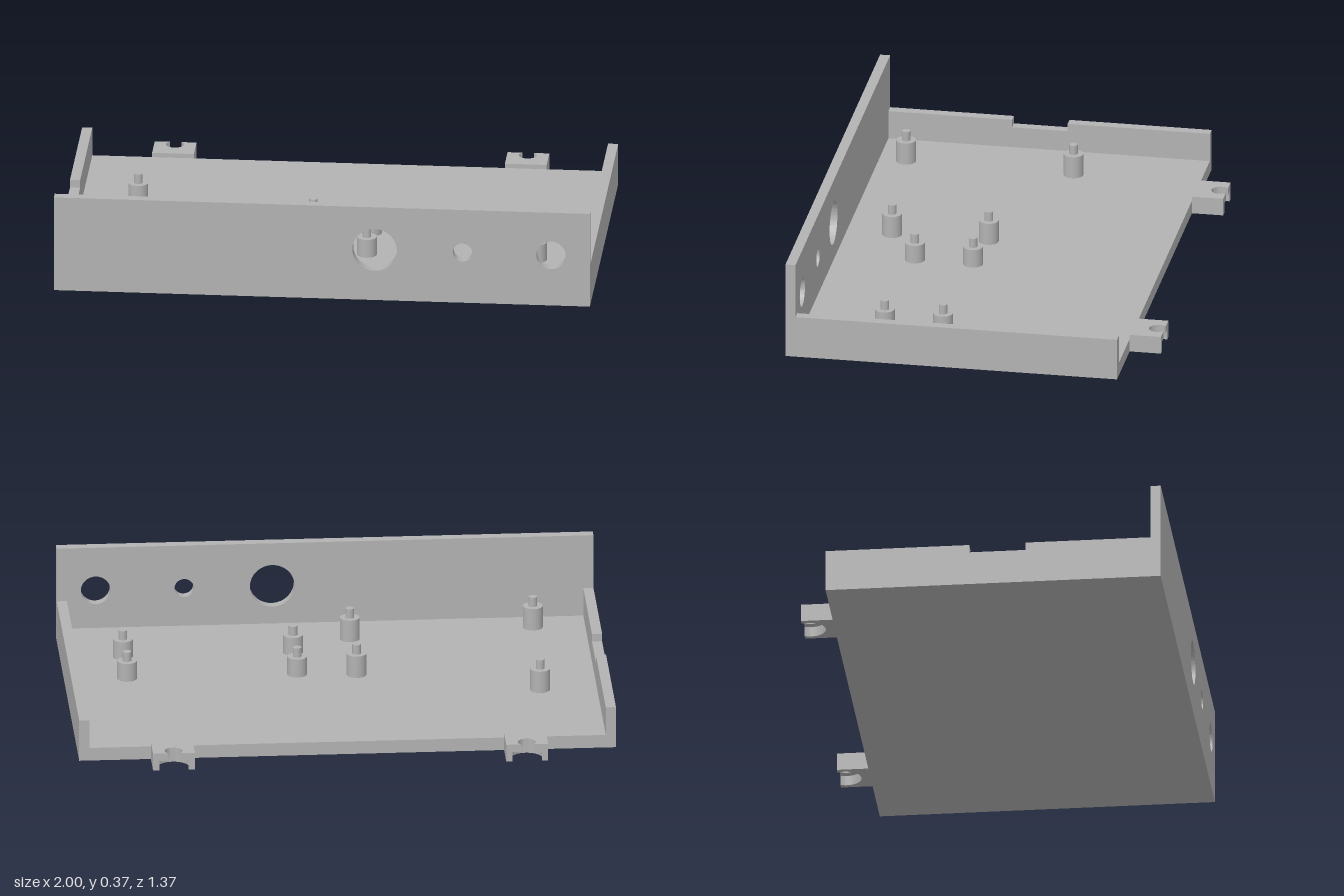
import * as THREE from 'three';
import { toCreasedNormals } from 'three/addons/utils/BufferGeometryUtils.js';

const WALL = 0.038, FLOOR = 0.05, FRONT = 0.685, BACK = -0.567, SIDE_H = 0.16;

export function createModel() {
  const grey = new THREE.MeshStandardMaterial({ color: 0xb2b2b2 });
  grey.name = 'grey plastic';
  const model = new THREE.Group();
  model.name = 'enclosureTray';

  const add = (name, geometry, x = 0, y = 0, z = 0, parent = model) => {
    const mesh = new THREE.Mesh(geometry, grey);
    mesh.name = name;
    mesh.position.set(x, y, z);
    parent.add(mesh);
    return mesh;
  };
  const polygon = (points) => new THREE.Shape(points.map(([x, y]) => new THREE.Vector2(x, y)));
  const extrude = (shape, depth) => toCreasedNormals(
    new THREE.ExtrudeGeometry(shape, { depth, bevelEnabled: false, curveSegments: 40 }), 0.6);

  // Floor plate
  const inner = FRONT - WALL;
  add('floor', new THREE.BoxGeometry(2 - 2 * WALL, FLOOR, inner - BACK), 0, FLOOR / 2, (inner + BACK) / 2);

  // Tall front panel with three connector holes
  const panel = polygon([[-1, 0], [1, 0], [1, 0.37], [-1, 0.37]]);
  for (const [x, r] of [[0.197, 0.083], [0.525, 0.036], [0.855, 0.055]]) {
    panel.holes.push(new THREE.Path().absarc(x, 0.2, r, 0, Math.PI * 2, true));
  }
  add('frontPanel', extrude(panel, WALL), 0, 0, inner);

  // Side walls, profiled in z and y; the right one has a shallow notch
  const sideWall = (name, notch, x) => {
    const shape = polygon([[BACK, 0], [inner, 0], [inner, SIDE_H], ...notch, [BACK, SIDE_H]]);
    add(name, extrude(shape, WALL).rotateY(-Math.PI / 2), x);
  };
  sideWall('leftWall', [], 1);
  sideWall('rightWall', [[0.18, SIDE_H], [0.18, 0.13], [-0.03, 0.13], [-0.03, SIDE_H]], -1 + WALL);

  // Board standoffs, each a post with a locating pin: x, z, post top, pin top
  const standoffs = [
    [-0.75, -0.09, 0.135, 0.172], [-0.767, 0.545, 0.135, 0.172],
    [-0.08, 0.11, 0.135, 0.172], [-0.08, 0.475, 0.135, 0.172],
    [0.14, 0.13, 0.121, 0.157], [0.14, 0.35, 0.121, 0.157],
    [0.774, 0.13, 0.121, 0.157], [0.774, 0.35, 0.121, 0.157],
  ];
  for (const [x, z, postTop, pinTop] of standoffs) {
    const standoff = new THREE.Group();
    standoff.name = 'standoff';
    standoff.position.set(x, 0, z);
    model.add(standoff);
    const postH = postTop - FLOOR, pinH = pinTop - postTop;
    add('post', new THREE.CylinderGeometry(0.037, 0.037, postH, 32), 0, FLOOR + postH / 2, 0, standoff);
    add('pin', new THREE.CylinderGeometry(0.016, 0.016, pinH, 24), 0, postTop + pinH / 2, 0, standoff);
  }

  // Rear mounting lugs: a round slot open to the back, wider underneath
  const lugLayer = (r, height) => {
    const a = Math.asin(0.025 / r), half = r * Math.cos(a);
    const shape = polygon([[-0.078, -BACK], [0.078, -BACK], [0.078, FRONT], [half, FRONT]]);
    shape.absarc(0, 0.66, r, a, Math.PI - a, true);
    shape.lineTo(-0.078, FRONT);
    return extrude(shape, height).rotateX(-Math.PI / 2);
  };
  for (const x of [-0.661, 0.655]) {
    const lug = new THREE.Group();
    lug.name = 'mountingLug';
    lug.position.x = x;
    model.add(lug);
    add('lugBase', lugLayer(0.06, 0.038), 0, 0, 0, lug);
    add('lugTop', lugLayer(0.033, 0.029), 0, 0.038, 0, lug);
  }
  return model;
}
